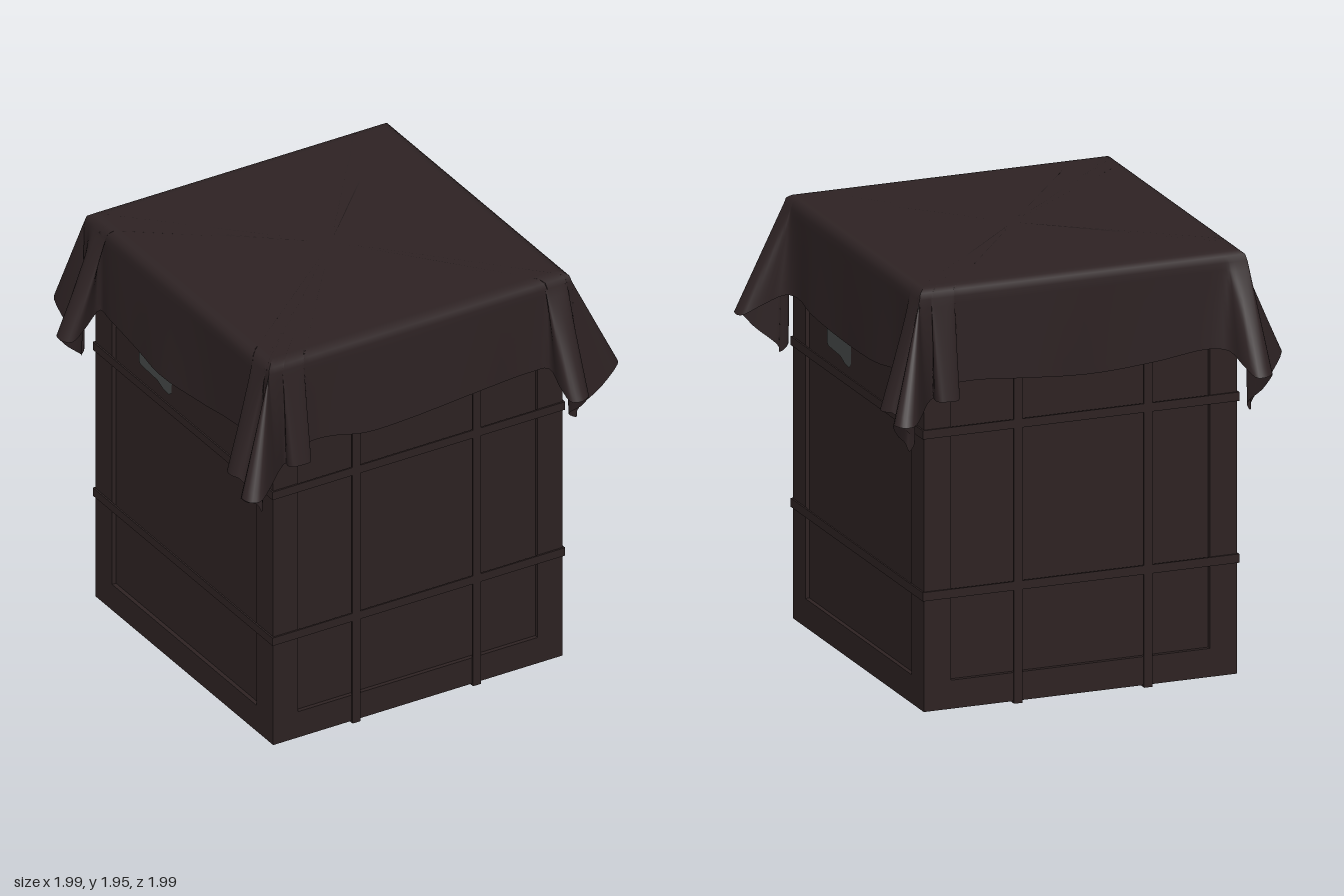
import * as THREE from 'three';

const mat = (name, color, side = THREE.FrontSide) => {
  const m = new THREE.MeshStandardMaterial({ color, side });
  m.name = name;
  return m;
};

// Crate bounds
const CX = -0.0125, CZ = 0.005, HX = 0.7375, HZ = 0.745, Y0 = 0.01, Y1 = 1.9, RECESS = 0.02;

// Rectangle with a rectangular hole, extruded along z
function ringGeometry(w, h, holeW, holeH, depth) {
  const rect = (P, a, b) => new P().moveTo(-a, -b).lineTo(a, -b).lineTo(a, b).lineTo(-a, b).closePath();
  const shape = rect(THREE.Shape, w / 2, h / 2);
  shape.holes.push(rect(THREE.Path, holeW / 2, holeH / 2));
  return new THREE.ExtrudeGeometry(shape, { depth, bevelEnabled: false });
}

const at = (x, z, y) => new THREE.Vector3(x, y, z);

// Hem of one fold that sticks out from root to tip; y0, yTip and y1 are its heights along the hem
function fold(rootX, rootZ, tipX, tipZ, y0, yTip, y1) {
  const root = at(rootX, rootZ, 0), tip = at(tipX, tipZ, 0);
  const d = tip.clone().sub(root).normalize();
  const n = new THREE.Vector3(d.z, 0, -d.x);
  const point = (along, across, y) => root.clone().lerp(tip, along).addScaledVector(n, across).setY(y);
  return [
    point(0, -0.05, y0), point(0.5, -0.055, (y0 + yTip) / 2), point(0.9, -0.045, yTip),
    point(1, 0, yTip), point(0.9, 0.045, yTip), point(0.5, 0.055, (y1 + yTip) / 2), point(0, 0.05, y1),
  ];
}

// Hem of the cloth, running front > left > back > right of the crate
function hemCurve() {
  const front = [at(-0.5, 0.775, 1.505), at(-0.3, 0.785, 1.47), at(-0.1, 0.79, 1.475), at(0.25, 0.78, 1.495), at(0.55, 0.775, 1.51)];
  const frontLeft = [
    ...fold(0.68, 0.79, 0.68, 0.99, 1.51, 1.43, 1.25), at(0.775, 0.785, 1.22),
    ...fold(0.79, 0.73, 0.995, 0.765, 1.25, 1.43, 1.51),
  ];
  const left = [at(0.77, 0.6, 1.52), at(0.78, 0.42, 1.5), at(0.77, 0.1, 1.475), at(0.78, -0.32, 1.49), at(0.77, -0.58, 1.52)];
  const backLeft = [
    ...fold(0.785, -0.7, 0.91, -0.74, 1.5, 1.4, 1.25), at(0.8, -0.755, 1.21),
    ...fold(0.78, -0.79, 0.93, -0.99, 1.25, 1.4, 1.44),
    ...fold(0.65, -0.785, 0.65, -0.86, 1.45, 1.45, 1.5),
  ];
  const back = [at(0.5, -0.785, 1.51), at(0.25, -0.785, 1.49), at(-0.05, -0.775, 1.47), at(-0.35, -0.78, 1.49), at(-0.6, -0.785, 1.52)];
  const backRight = [
    ...fold(-0.73, -0.8, -0.79, -0.995, 1.51, 1.43, 1.25), at(-0.795, -0.785, 1.22),
    ...fold(-0.8, -0.7, -0.99, -0.63, 1.25, 1.43, 1.51),
  ];
  const right = [at(-0.795, -0.55, 1.52), at(-0.8, -0.3, 1.49), at(-0.81, -0.1, 1.47), at(-0.79, 0.2, 1.48), at(-0.79, 0.55, 1.52)];
  const frontRight = [
    ...fold(-0.8, 0.68, -0.93, 0.69, 1.5, 1.4, 1.25), at(-0.81, 0.755, 1.21),
    ...fold(-0.8, 0.79, -0.985, 0.93, 1.25, 1.4, 1.44),
    ...fold(-0.66, 0.785, -0.66, 0.85, 1.44, 1.45, 1.5),
  ];
  const points = [front, frontLeft, left, backLeft, back, backRight, right, frontRight].flat();
  return new THREE.CatmullRomCurve3(points, true, 'centripetal');
}

// Draped cloth: flat top, rounded rim, then walls blending out to the hem
function clothGeometry() {
  const N = 300, WALL = 12;
  const curve = hemCurve();
  const hem = Array.from({ length: N }, (_, i) => curve.getPoint(i / N));
  const rim = hem.map(p => new THREE.Vector3(
    THREE.MathUtils.clamp(p.x, -0.785, 0.76), 1.9, THREE.MathUtils.clamp(p.z, -0.775, 0.77)));
  const rings = [[0.5, 1.945], [0.93, 1.945], [0.965, 1.943], [0.99, 1.928]].map(
    ([s, y]) => rim.map(p => new THREE.Vector3(p.x * s, y, p.z * s)));
  for (let k = 0; k <= WALL; k++) rings.push(rim.map((p, i) => p.clone().lerp(hem[i], k / WALL)));
  const pos = [0, 1.945, 0], idx = [];
  rings.flat().forEach(p => pos.push(p.x, p.y, p.z));
  for (let i = 0; i < N; i++) {
    const j = (i + 1) % N;
    idx.push(0, 1 + i, 1 + j);
    for (let r = 0; r < rings.length - 1; r++) {
      const a = 1 + r * N, b = a + N;
      idx.push(a + i, b + i, b + j, a + i, b + j, a + j);
    }
  }
  const g = new THREE.BufferGeometry();
  g.setAttribute('position', new THREE.Float32BufferAttribute(pos, 3));
  g.setIndex(idx);
  g.computeVertexNormals();
  return g;
}

export function createModel() {
  const model = new THREE.Group();
  model.name = 'coveredCrate';
  const crateMat = mat('dark brown crate', 0x2e2323);
  const clothMat = mat('dark brown cloth', 0x2e2324, THREE.DoubleSide);
  const labelMat = mat('grey label', 0x474a49, THREE.DoubleSide);
  const add = (name, geo, material, x, y, z, rx = 0, ry = 0) => {
    const m = new THREE.Mesh(geo, material);
    m.name = name;
    m.position.set(x, y, z);
    m.rotation.set(rx, ry, 0);
    model.add(m);
    return m;
  };
  const midY = (Y0 + Y1) / 2, H = Y1 - Y0, R = RECESS;

  // Core, whose faces are the recessed panels
  add('crateCore', new THREE.BoxGeometry(2 * (HX - R), H - R, 2 * (HZ - R)), crateMat, CX, midY + R / 2, CZ);

  // Raised borders around the panels
  const holeH = 2 * (midY - 0.14);
  const frontFrame = ringGeometry(2 * HX, H, 1.22, holeH, R);
  const sideFrame = ringGeometry(2 * (HZ - R), H, 1.21, holeH, R);
  add('frontFrame', frontFrame, crateMat, CX, midY, CZ + HZ - R);
  add('backFrame', frontFrame, crateMat, CX, midY, CZ - HZ + R, 0, Math.PI);
  add('leftFrame', sideFrame, crateMat, CX + HX - R, midY, CZ, 0, Math.PI / 2);
  add('rightFrame', sideFrame, crateMat, CX - HX + R, midY, CZ, 0, -Math.PI / 2);
  add('bottomFrame', ringGeometry(2 * (HX - R), 2 * (HZ - R), 1.22, 1.21, R), crateMat, CX, Y0 + R, CZ, Math.PI / 2);

  // Straps wrapped around the crate
  const t = 0.008;
  const upright = ringGeometry(2 * (HZ + t), H + 2 * Y0, 2 * HZ, H, 0.04);
  for (const x of [-0.33, 0.283]) add('uprightStrap', upright, crateMat, x - 0.02, midY, CZ, 0, Math.PI / 2);
  const level = ringGeometry(2 * (HX + t), 2 * (HZ + t), 2 * HX, 2 * HZ, 0.04);
  for (const y of [0.537, 1.275]) add('levelStrap', level, crateMat, CX, y + 0.02, CZ, Math.PI / 2);

  // Worn paper labels on both sides and underneath
  const label = new THREE.ShapeGeometry(new THREE.Shape([
    [-0.14, 0.13], [-0.14, -0.05], [-0.13, -0.06], [0.01, -0.068], [0.06, -0.088], [0.11, -0.092],
    [0.13, -0.075], [0.135, -0.02], [0.13, 0.13],
  ].map(p => new THREE.Vector2(...p))));
  add('leftLabel', label, labelMat, CX + HX - R + 0.004, 1.415, 0.26, 0, Math.PI / 2);
  add('rightLabel', label, labelMat, CX - HX + R - 0.004, 1.415, -0.26, 0, -Math.PI / 2);
  add('bottomLabel', label, labelMat, -0.46, Y0 + R - 0.004, 0.42, Math.PI / 2).scale.set(0.7, 0.7, 1);

  // Cloth thrown over the top
  add('cloth', clothGeometry(), clothMat, 0, 0, 0);
  return model;
}
